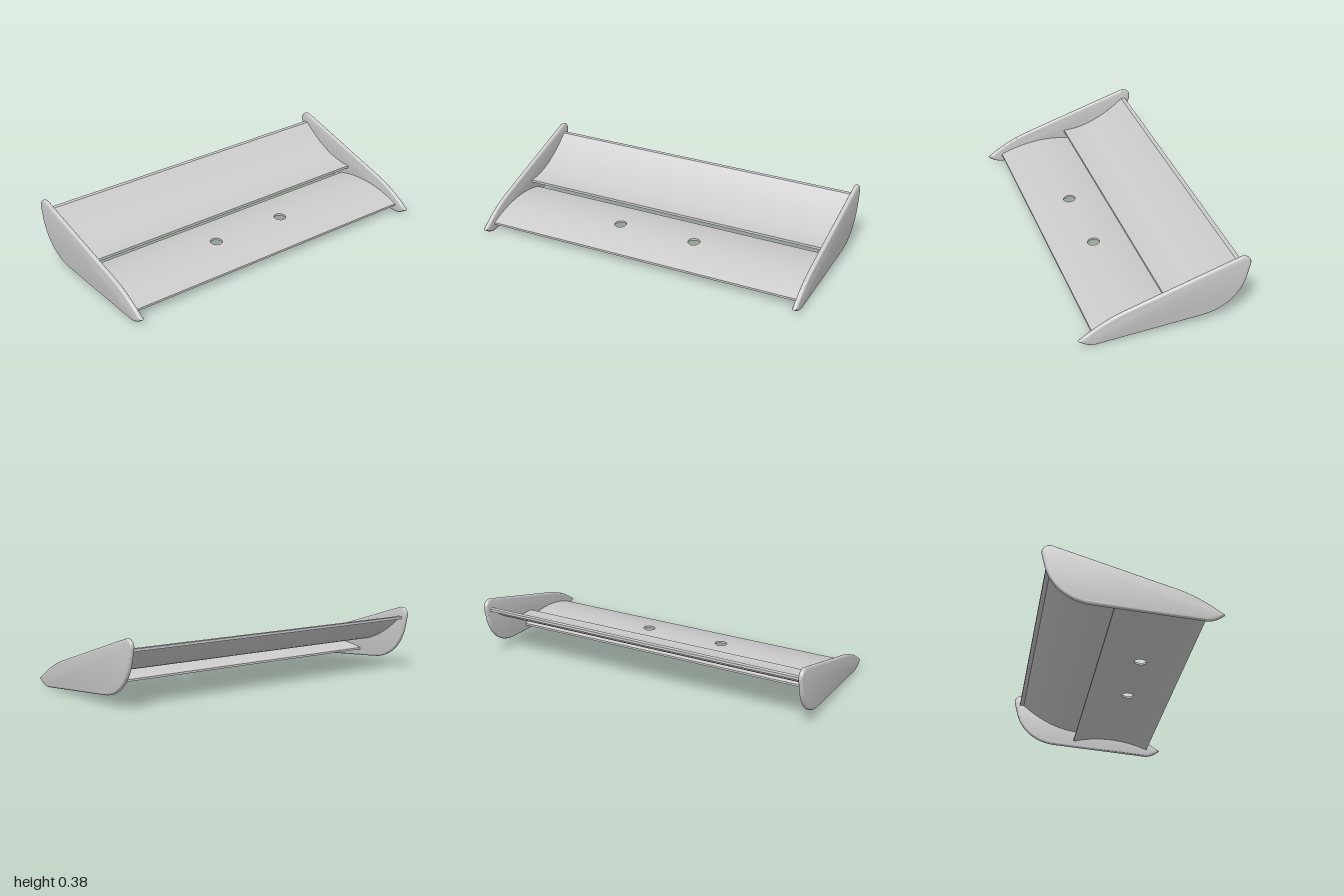
import * as THREE from 'three';
import { toCreasedNormals } from 'three/addons/utils/BufferGeometryUtils.js';

const HALF_SPAN = 0.985;
const HOLE = { x: 0.155, z: 0.24, r: 0.035 };

// Height of a parabola from (x0, y0) to (x1, y1), bent by the middle control height
function parabola(x0, y0, control, x1, y1) {
  return (x) => {
    const t = (x - x0) / (x1 - x0);
    return (1 - t) ** 2 * y0 + 2 * t * (1 - t) * control + t * t * y1;
  };
}

const range = (a, b, n) => Array.from({ length: n + 1 }, (_, i) => a + ((b - a) * i) / n);

// Curved solid sheet: xs ascending, top height, thickness, and z spans at each x
function sheet(xs, height, thickness, spansAt) {
  const pos = [];
  const quad = (a, b, c, d) => pos.push(...a, ...b, ...c, ...a, ...c, ...d);
  const top = (x, z) => [x, height(x), z];
  const low = (x, z) => [x, height(x) - thickness, z];
  for (let i = 0; i < xs.length - 1; i++) {
    const a = xs[i], b = xs[i + 1];
    const sa = spansAt(a), sb = spansAt(b);
    sa.forEach(([a0, a1], k) => {
      const [b0, b1] = sb[k];
      quad(top(a, a1), top(b, b1), top(b, b0), top(a, a0));
      quad(low(a, a0), low(b, b0), low(b, b1), low(a, a1));
      // side walls: outer ends always, inner ones only along a hole
      const open = (p, q) => Math.abs(p) === HALF_SPAN || Math.abs(Math.abs(p) - HOLE.z) > 1e-6 || Math.abs(Math.abs(q) - HOLE.z) > 1e-6;
      if (open(a1, b1)) quad(low(a, a1), low(b, b1), top(b, b1), top(a, a1));
      if (open(a0, b0)) quad(low(b, b0), low(a, a0), top(a, a0), top(b, b0));
    });
  }
  // leading and trailing edge faces
  const s = HALF_SPAN, a = xs[0], b = xs[xs.length - 1];
  quad(low(a, -s), low(a, s), top(a, s), top(a, -s));
  quad(low(b, s), low(b, -s), top(b, -s), top(b, s));
  const geometry = new THREE.BufferGeometry();
  geometry.setAttribute('position', new THREE.Float32BufferAttribute(pos, 3));
  return toCreasedNormals(geometry, 0.5);
}

// Side plate outline with fully rounded rim
function endPlateGeometry() {
  const s = new THREE.Shape();
  s.moveTo(0.476, 0.042);
  s.quadraticCurveTo(0.345, 0.143, 0.2, 0.186);
  s.lineTo(-0.42, 0.383);
  s.bezierCurveTo(-0.455, 0.393, -0.487, 0.365, -0.478, 0.33);
  s.lineTo(-0.465, 0.275);
  s.bezierCurveTo(-0.44, 0.155, -0.35, 0.062, -0.2, 0.053);
  s.lineTo(0.37, 0.004);
  s.quadraticCurveTo(0.42, -0.003, 0.476, 0.042);
  const geometry = new THREE.ExtrudeGeometry(s, {
    depth: 0.002, bevelThickness: 0.0125, bevelSize: 0.0125, bevelOffset: -0.0125,
    bevelSegments: 6, curveSegments: 20,
  });
  geometry.translate(0, 0, -0.001);
  return toCreasedNormals(geometry, 0.6);
}

export function createModel() {
  const group = new THREE.Group();
  const material = new THREE.MeshStandardMaterial({ color: 0xcccccc });
  const add = (name, geometry) => {
    const mesh = new THREE.Mesh(geometry, material);
    mesh.name = name;
    group.add(mesh);
    return mesh;
  };

  // Main plane: arched sheet with two round mounting holes
  const holeXs = range(0, Math.PI, 16).map((a) => HOLE.x - HOLE.r * Math.cos(a));
  const mainXs = [
    ...range(-0.09, HOLE.x - HOLE.r, 12).slice(0, -1),
    ...holeXs,
    ...range(HOLE.x + HOLE.r, 0.39, 12).slice(1),
  ];
  const holeSpans = (x) => {
    const w = Math.sqrt(Math.max(0, HOLE.r ** 2 - (x - HOLE.x) ** 2));
    const inner = HOLE.z - w, outer = HOLE.z + w;
    return [[-HALF_SPAN, -outer], [-inner, inner], [outer, HALF_SPAN]];
  };
  add('mainPlane', sheet(mainXs, parabola(0.39, 0.057, 0.156, -0.09, 0.092), 0.012, holeSpans));

  // Upper flap: upswept sheet ending in a short flat lip
  const sweep = parabola(-0.03, 0.16, 0.158, -0.42, 0.328);
  const flapHeight = (x) => sweep(Math.max(x, -0.42));
  add('flap', sheet([-0.445, ...range(-0.42, -0.03, 24)], flapHeight, 0.015, () => [[-HALF_SPAN, HALF_SPAN]]));

  // End plates
  const plate = endPlateGeometry();
  for (const [name, side] of [['frontEndPlate', 1], ['backEndPlate', -1]]) {
    add(name, plate).position.z = side * 0.9865;
  }
  return group;
}
